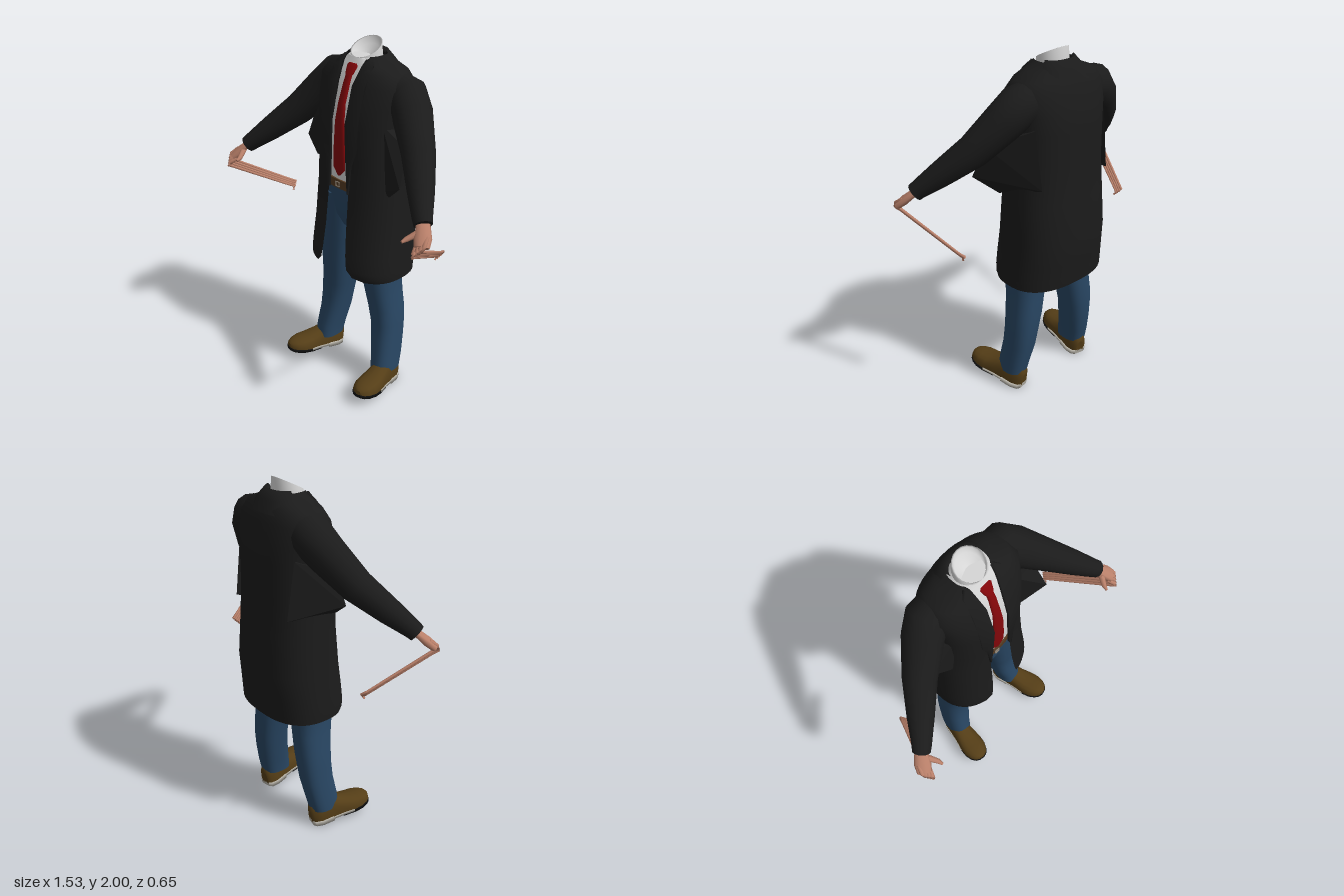
import * as THREE from 'three';
import { ConvexGeometry } from 'three/addons/geometries/ConvexGeometry.js';

const V = (x, y, z) => new THREE.Vector3(x, y, z);
const mat = (name, color, side = THREE.FrontSide) => {
  const m = new THREE.MeshStandardMaterial({ color, side });
  m.name = name;
  return m;
};

// Skin a list of point rings; faces are turned outward by a signed volume test.
function loft(rings, closed = true, caps = true) {
  const n = rings[0].length, pos = [], idx = [];
  rings.forEach(r => r.forEach(p => pos.push(p.x, p.y, p.z)));
  for (let i = 0; i < rings.length - 1; i++)
    for (let j = 0; j < (closed ? n : n - 1); j++) {
      const a = i * n + j, b = i * n + (j + 1) % n;
      idx.push(a, b, a + n, b, b + n, a + n);
    }
  if (closed && caps) [0, rings.length - 1].forEach(k => {
    const base = pos.length / 3, c = V(0, 0, 0);
    rings[k].forEach(p => { pos.push(p.x, p.y, p.z); c.addScaledVector(p, 1 / n); });
    pos.push(c.x, c.y, c.z);
    for (let j = 0; j < n; j++) {
      const a = base + j, b = base + (j + 1) % n;
      k ? idx.push(a, b, base + n) : idx.push(b, a, base + n);
    }
  });
  const mean = V(0, 0, 0), at = i => V(pos[3 * i], pos[3 * i + 1], pos[3 * i + 2]);
  for (let i = 0; i < pos.length / 3; i++) mean.addScaledVector(at(i), 3 / pos.length);
  let vol = 0;
  for (let i = 0; i < idx.length; i += 3) {
    const [a, b, c] = [0, 1, 2].map(k => at(idx[i + k]).sub(mean));
    vol += a.dot(b.cross(c));
  }
  if (vol < 0) idx.reverse();
  const g = new THREE.BufferGeometry();
  g.setAttribute('position', new THREE.Float32BufferAttribute(pos, 3));
  g.setIndex(idx);
  g.computeVertexNormals();
  return g;
}

// Horizontal rounded section [y, halfWidth, zFront, zBack, centreX]; angle 0 is the front.
const P = 0.8, sp = v => Math.sign(v) * Math.abs(v) ** P;
const onRing = ([y, hw, zf, zb, cx = 0], a) =>
  V(cx + hw * sp(Math.sin(a)), y, (zf + zb) / 2 + (zf - zb) / 2 * sp(Math.cos(a)));
const ring = (s, n = 24, a0 = 0, a1 = Math.PI * 2, open = false) =>
  Array.from({ length: n }, (_, i) => onRing(s, a0 + (a1 - a0) * i / (open ? n - 1 : n)));
const body = sections => loft(sections.map(s => ring(s)));

// Limb along a path of [x, y, z, radius], optionally flattened.
function limb(path, n = 12, flat = 1) {
  const pts = path.map(p => V(p[0], p[1], p[2]));
  return loft(pts.map((c, i) => {
    const d = pts[Math.min(i + 1, pts.length - 1)].clone().sub(pts[Math.max(i - 1, 0)]).normalize();
    const u = V(0, 1, 0).cross(d).normalize(), w = d.clone().cross(u);
    return Array.from({ length: n }, (_, j) => {
      const a = j / n * Math.PI * 2, r = path[i][3];
      return c.clone().addScaledVector(u, r * Math.cos(a)).addScaledVector(w, r * flat * Math.sin(a));
    });
  }));
}

function mirrored(g) {
  const m = g.clone().applyMatrix4(new THREE.Matrix4().makeScale(-1, 1, 1));
  m.setIndex(Array.from(m.index.array).reverse());
  return m;
}

export function createModel() {
  const root = new THREE.Group();
  const black = mat('coat black', 0x1b1b1b, THREE.DoubleSide), white = mat('shirt white', 0xd6d6d6, THREE.DoubleSide);
  const red = mat('tie red', 0x82070a), denim = mat('denim blue', 0x294764), belt = mat('belt brown', 0x553b22);
  const leather = mat('shoe brown', 0x553e17), grey = mat('sole grey', 0xb4b0a6), rubber = mat('sole black', 0x101010);
  const skin = mat('skin', 0xb87f69), metal = mat('buckle metal', 0x9a8f80);
  const add = (name, g, m) => {
    const o = new THREE.Mesh(g, m);
    o.name = name;
    root.add(o);
  };
  const pair = (name, g, m) => { add(name + 'Left', g, m); add(name + 'Right', mirrored(g), m); };

  // Coat: [y, halfWidth, zFront, zBack, halfOpening]
  const coat = [
    [0.72, 0.305, 0.155, -0.29, 0.2], [0.74, 0.306, 0.168, -0.293, 0.14], [0.78, 0.305, 0.17, -0.297, 0.102],
    [0.86, 0.3, 0.162, -0.305, 0.09], [1.0, 0.29, 0.145, -0.32, 0.08],
    [1.22, 0.28, 0.122, -0.303, 0.075], [1.4, 0.268, 0.12, -0.295, 0.065], [1.6, 0.268, 0.118, -0.295, 0.058],
    [1.7, 0.275, 0.1, -0.287, 0.058], [1.8, 0.28, 0.066, -0.262, 0.06], [1.86, 0.235, 0.035, -0.238, 0.068],
    [1.89, 0.16, 0.02, -0.215, 0.075], [1.93, 0.1, -0.005, -0.19, 0.08]];
  const angleAt = (s, x) => Math.asin(Math.min(1, (x / s[1]) ** (1 / P)));
  add('coatBody', loft(coat.map(s => {
    const a = angleAt(s, s[4]);
    return ring([...s.slice(0, 4), 0], 41, a, Math.PI * 2 - a, true);
  }), false), black);

  // Lapels follow the coat front
  const coatAt = y => {
    const i = Math.max(1, coat.findIndex(s => s[0] >= y)), a = coat[i - 1], b = coat[i];
    return a.map((v, k) => v + (b[k] - v) * (y - a[0]) / (b[0] - a[0]));
  };
  const lapel = [[1.92, 0.095], [1.89, 0.125], [1.8, 0.135], [1.6, 0.135], [1.47, 0.125], [1.38, 0.095], [1.22, 0.08]];
  pair('lapel', loft(lapel.map(([y, outer]) => {
    const s = coatAt(y), z = x => onRing([...s.slice(0, 4), 0], angleAt(s, x)).z, x0 = s[4] - 0.004;
    return [V(x0, y, z(x0) + 0.008), V(outer, y, z(outer) + 0.01), V(outer, y, z(outer) - 0.01), V(x0, y, z(x0) - 0.01)];
  })), black);

  // Turned-down collar at the back
  add('coatCollar', loft([[1.84, 0.19, 0.03, -0.253], [1.9, 0.135, 0.02, -0.222], [1.945, 0.1, 0.0, -0.188], [1.925, 0.09, 0, -0.17]]
    .map(s => ring(s, 17, Math.PI * 0.6, Math.PI * 1.4, true)), false), black);

  // Sleeves
  pair('sleeve', limb([[0.18, 1.765, -0.12, 0.1], [0.25, 1.75, -0.12, 0.11], [0.32, 1.68, -0.09, 0.105], [0.45, 1.53, 0.0, 0.087],
    [0.57, 1.41, 0.11, 0.068], [0.655, 1.325, 0.19, 0.05], [0.675, 1.305, 0.205, 0.047]], 14), black);

  // Stretched folds under the arms: top corner, outer tip and lower corner differ per side
  const fold = (name, s, top, tip, low) => add(name, new ConvexGeometry([V(s * 0.22, 1.62, 0.02), V(s * 0.24, 1.64, -0.22),
    V(s * 0.23, 1.33, -0.26), V(s * 0.2, low.y, 0), top, tip, low]), black);
  fold('coatFoldLeft', 1, V(0.375, 1.53, 0.0), V(0.405, 1.35, 0.08), V(0.28, 1.24, 0.02));
  fold('coatFoldRight', -1, V(-0.33, 1.57, -0.03), V(-0.375, 1.4, 0.0), V(-0.265, 1.32, 0.03));

  // Shirt, its standing collar and tie
  add('shirt', body([[1.26, 0.2, 0.1, -0.2], [1.4, 0.2, 0.106, -0.2], [1.6, 0.2, 0.102, -0.2], [1.7, 0.2, 0.086, -0.2],
    [1.8, 0.2, 0.054, -0.2], [1.86, 0.17, 0.027, -0.19], [1.895, 0.115, 0.008, -0.17], [1.92, 0.085, -0.005, -0.155]]), white);
  const collarRing = (r, drop, tilt) => Array.from({ length: 20 }, (_, i) => {
    const a = i / 20 * Math.PI * 2;
    return V(r * Math.sin(a), 1.96 - tilt * Math.cos(a) - drop, -0.083 + 0.92 * r * Math.cos(a));
  });
  add('shirtCollar', loft([collarRing(0.088, 0.08, 0.03), collarRing(0.085, 0, 0.04), collarRing(0.078, 0.002, 0.04),
    collarRing(0.07, 0.035, 0.035), collarRing(0.002, 0.05, 0)], true, false), white);
  add('tie', body([[1.3, 0.008, 0.113, 0.09, -0.008], [1.34, 0.043, 0.116, 0.09, -0.008], [1.42, 0.044, 0.116, 0.09, -0.007],
    [1.6, 0.034, 0.112, 0.085, -0.005], [1.7, 0.027, 0.097, 0.06, -0.003], [1.8, 0.023, 0.066, 0.035],
    [1.835, 0.021, 0.051, 0.02], [1.845, 0.027, 0.048, 0.015], [1.88, 0.038, 0.026, -0.01], [1.892, 0.03, 0.014, -0.02]]), red);

  // Belt, buckle, hips and trouser legs
  add('belt', body([[1.22, 0.205, 0.108, -0.205], [1.272, 0.205, 0.11, -0.205]]), belt);
  const buckle = new THREE.TorusGeometry(0.019, 0.004, 4, 4, Math.PI * 2);
  buckle.rotateZ(Math.PI / 4).translate(-0.015, 1.246, 0.112);
  add('buckle', buckle, metal);
  add('hips', body([[0.97, 0.1, 0.05, -0.17], [1.04, 0.19, 0.08, -0.2], [1.15, 0.2, 0.098, -0.2], [1.225, 0.2, 0.104, -0.2]]), denim);
  pair('trouserLeg', body([[1.16, 0.105, 0.095, -0.2, 0.105], [1.0, 0.122, 0.085, -0.2, 0.125], [0.85, 0.112, 0.072, -0.18, 0.15],
    [0.7, 0.1, 0.06, -0.167, 0.165], [0.6, 0.093, 0.048, -0.168, 0.178], [0.5, 0.091, 0.036, -0.168, 0.194], [0.4, 0.084, 0.032, -0.162, 0.209],
    [0.3, 0.079, 0.04, -0.15, 0.219], [0.18, 0.071, 0.062, -0.125, 0.236], [0.1, 0.068, 0.073, -0.105, 0.242]]), denim);

  // Shoes: sections along the foot [z, halfWidth, top], toes raised and turned out
  const foot = [[-0.132, 0.025, 0.09], [-0.12, 0.045, 0.13], [-0.08, 0.06, 0.15], [-0.01, 0.062, 0.15], [0.05, 0.066, 0.115],
    [0.12, 0.076, 0.085], [0.17, 0.074, 0.075], [0.21, 0.06, 0.064], [0.235, 0.04, 0.052], [0.246, 0.015, 0.038]];
  const place = new THREE.Matrix4().makeRotationFromEuler(new THREE.Euler(-0.17, 0.2, 0, 'YXZ')).setPosition(0.258, 0.025, 0.03);
  const upper = loft(foot.map(([z, hw, top]) => Array.from({ length: 16 }, (_, i) => {
    const a = i / 16 * Math.PI * 2;
    return V(hw * sp(Math.cos(a)), 0.014 + (top - 0.014) * Math.max(0, sp(Math.sin(a))), z);
  })));
  const slab = (sections, y0, y1, grow) => loft(sections.map(([z, hw]) => {
    const w = hw + grow;
    return [V(-w, y0, z), V(w, y0, z), V(w, y1, z), V(-w, y1, z)];
  })).applyMatrix4(place);
  pair('shoeUpper', upper.applyMatrix4(place), leather);
  pair('shoeHeel', slab(foot.slice(0, 4), -0.006, 0.024, 0.004), grey);
  pair('shoeWelt', slab(foot.slice(3, 6), 0.005, 0.02, 0.003), grey);
  pair('shoeTread', slab(foot.slice(4), -0.003, 0.016, 0.001), rubber);

  // Hands: palm, thumb and four long trailing fingers with hooked tips
  pair('palm', limb([[0.65, 1.33, 0.185, 0.034], [0.685, 1.295, 0.215, 0.036], [0.712, 1.262, 0.245, 0.043], [0.732, 1.232, 0.275, 0.038]], 10, 0.55), skin);
  pair('thumb', limb([[0.69, 1.29, 0.215, 0.018], [0.665, 1.265, 0.26, 0.016], [0.648, 1.25, 0.29, 0.013], [0.642, 1.243, 0.315, 0.007]], 8), skin);
  for (let i = 0; i < 4; i++) {
    const k = i - 1.5, at = (x, y, z, m, r) => [x + 0.0057 * k * m, y + 0.0075 * k * m, z - 0.0074 * k * m, r];
    pair('finger' + (i + 1), limb([at(0.715, 1.25, 0.255, 1.8, 0.013), at(0.732, 1.225, 0.295, 1.7, 0.012), at(0.732, 1.21, 0.305, 1.4, 0.01),
      at(0.718, 1.195, 0.285, 1.2, 0.008), at(0.59, 1.012, -0.03, 1, 0.007), at(0.578, 1.0, -0.055, 1, 0.009),
      at(0.576, 0.98, -0.04, 1, 0.006)], 7), skin);
  }
  return root;
}
